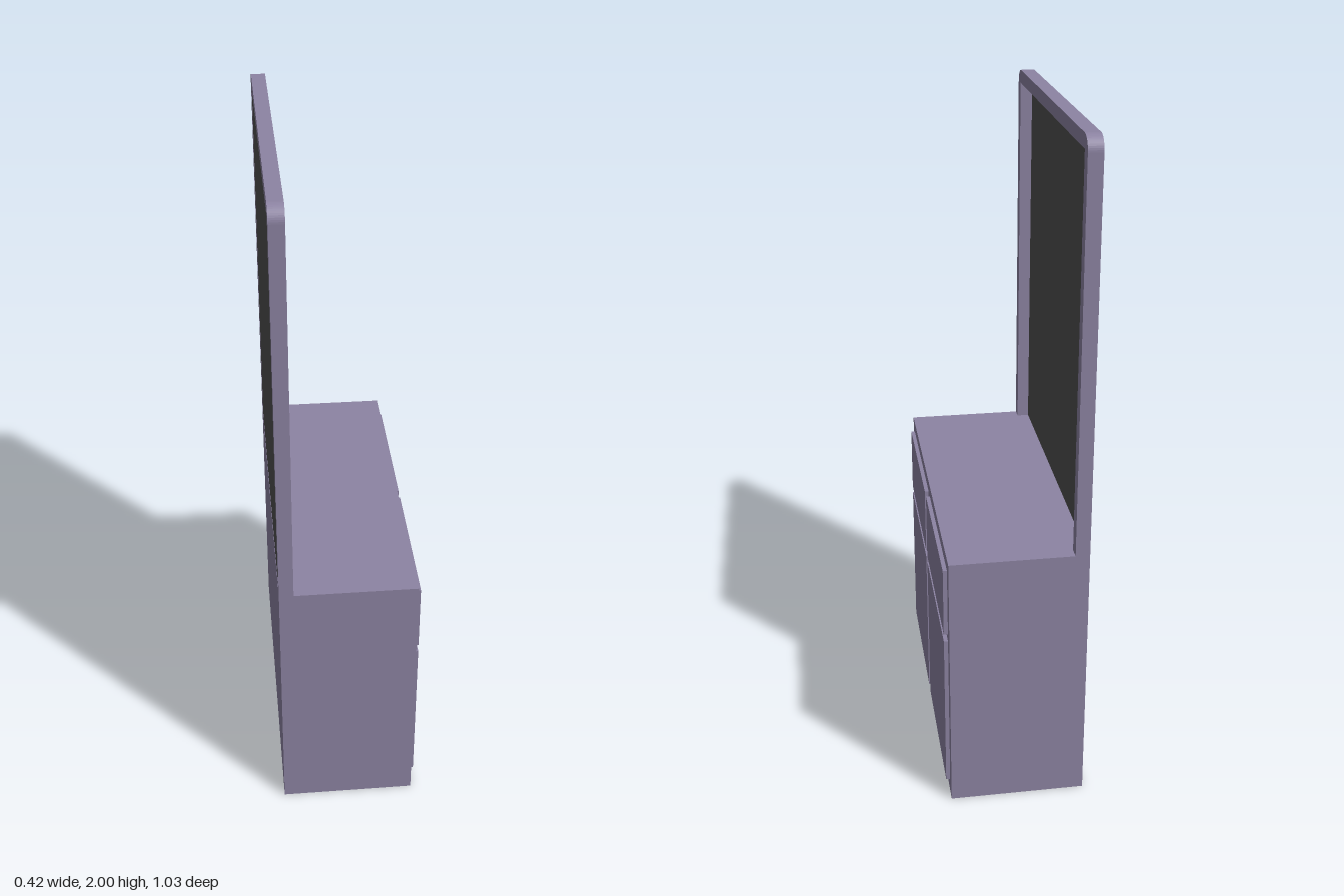
import * as THREE from 'three';

export function createModel() {
  const model = new THREE.Group();
  const paint = new THREE.MeshStandardMaterial({ color: 0x8d84a3 });
  const glass = new THREE.MeshStandardMaterial({ color: 0x505050 });

  const back = -0.208, bodyFront = 0.196, panelFront = 0.208;
  const halfWidth = 0.516, bodyTop = 0.815, frameDepth = 0.042;

  // Box given by its limits on each axis
  function box(name, material, [x0, x1], [y0, y1], [z0, z1]) {
    const mesh = new THREE.Mesh(new THREE.BoxGeometry(x1 - x0, y1 - y0, z1 - z0), material);
    mesh.position.set((x0 + x1) / 2, (y0 + y1) / 2, (z0 + z1) / 2);
    mesh.name = name;
    model.add(mesh);
  }

  // Cabinet
  box('cabinetBody', paint, [back, bodyFront], [0, bodyTop], [-halfWidth, halfWidth]);

  // Raised drawer fronts and doors, mirrored about the centre
  for (const side of [1, -1]) {
    const z = side > 0 ? [0.018, 0.48] : [-0.48, -0.018];
    box('drawerFront', paint, [bodyFront, panelFront], [0.566, 0.778], z);
    box('door', paint, [bodyFront, panelFront], [0.046, 0.542], z);
  }

  // Mirror frame: an upside-down U with rounded top corners
  const r = 0.042, inner = 0.48, innerTop = 1.96;
  const outline = new THREE.Shape();
  outline.moveTo(-halfWidth, bodyTop);
  outline.lineTo(-inner, bodyTop);
  outline.lineTo(-inner, innerTop);
  outline.lineTo(inner, innerTop);
  outline.lineTo(inner, bodyTop);
  outline.lineTo(halfWidth, bodyTop);
  outline.lineTo(halfWidth, 2 - r);
  outline.absarc(halfWidth - r, 2 - r, r, 0, Math.PI / 2);
  outline.lineTo(-halfWidth + r, 2);
  outline.absarc(-halfWidth + r, 2 - r, r, Math.PI / 2, Math.PI);
  const frameGeometry = new THREE.ExtrudeGeometry(outline, {
    depth: frameDepth, bevelEnabled: false, curveSegments: 6,
  });
  frameGeometry.rotateY(Math.PI / 2).translate(back, 0, 0);
  const frame = new THREE.Mesh(frameGeometry, paint);
  frame.name = 'mirrorFrame';
  model.add(frame);

  // Thin mirror set at the back of the frame
  box('mirror', glass, [back + 0.001, back + 0.005], [bodyTop, innerTop], [-inner, inner]);

  return model;
}
